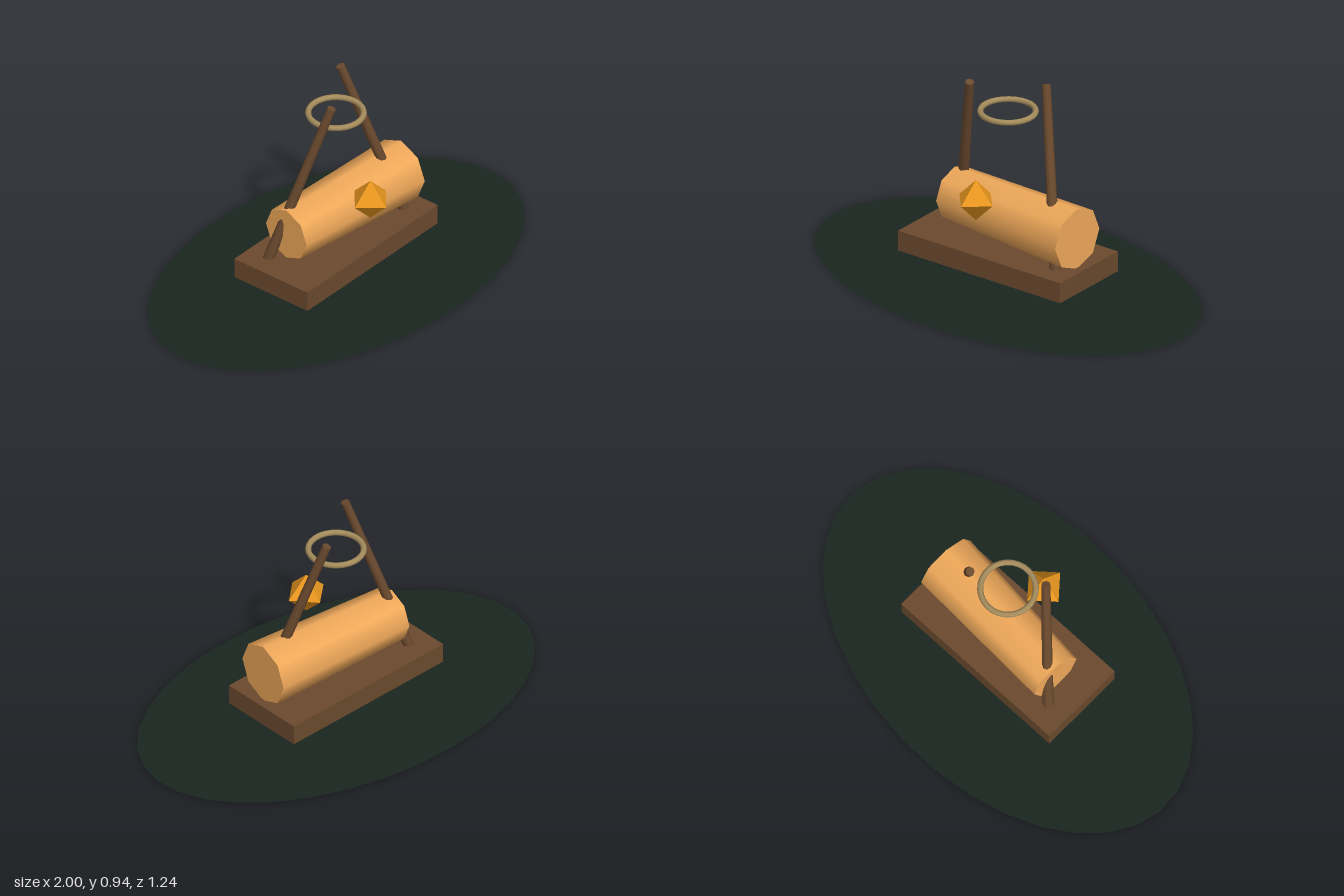
import * as THREE from 'three';

function part(name, geometry, color, options = {}) {
  const mesh = new THREE.Mesh(geometry, new THREE.MeshStandardMaterial({ color, ...options }));
  mesh.name = name;
  return mesh;
}

// Tapered round pole running between two points
function pole(name, bottom, top) {
  const axis = top.clone().sub(bottom);
  const mesh = part(name, new THREE.CylinderGeometry(0.02, 0.026, axis.length(), 8), 0x6b4a2e);
  mesh.position.copy(bottom).add(top).multiplyScalar(0.5);
  mesh.quaternion.setFromUnitVectors(new THREE.Vector3(0, 1, 0), axis.normalize());
  return mesh;
}

export function createModel() {
  const group = new THREE.Group();
  group.name = 'logShrine';

  // Flat oval ground patch
  const ground = part('groundPatch', new THREE.CircleGeometry(1, 32), 0x1a2620, { side: THREE.DoubleSide });
  ground.rotation.x = -Math.PI / 2;
  ground.scale.y = 0.62;
  group.add(ground);

  // Plank base, slightly turned
  const base = part('base', new THREE.BoxGeometry(0.893, 0.096, 0.416), 0x6b4a2e);
  base.position.y = 0.123;
  base.rotation.y = 0.08;
  group.add(base);

  // Eight-sided log lying along x, wider on its left end
  const log = part('log', new THREE.CylinderGeometry(0.145, 0.124, 0.72, 8), 0xf0a95a);
  log.rotation.z = -Math.PI / 2;
  log.position.set(0.048, 0.31, 0);
  group.add(log);

  // Two leaning poles, half a turn apart about the vertical axis
  for (const [name, s] of [['leftPole', 1], ['rightPole', -1]]) {
    group.add(pole(name,
      new THREE.Vector3(0.373 * s, 0.068, 0.097 * s),
      new THREE.Vector3(0.133 * s, 0.935, -0.103 * s)));
  }

  // Level ring between the pole tops
  const ring = part('ring', new THREE.TorusGeometry(0.122, 0.0135, 8, 28), 0xa58c5c);
  ring.rotation.x = Math.PI / 2;
  ring.position.y = 0.8;
  group.add(ring);

  // Floating crystal in front of the log
  const crystal = part('crystal', new THREE.OctahedronGeometry(0.097), 0xe8961e, { flatShading: true });
  crystal.position.set(0, 0.442, 0.21);
  group.add(crystal);

  return group;
}
